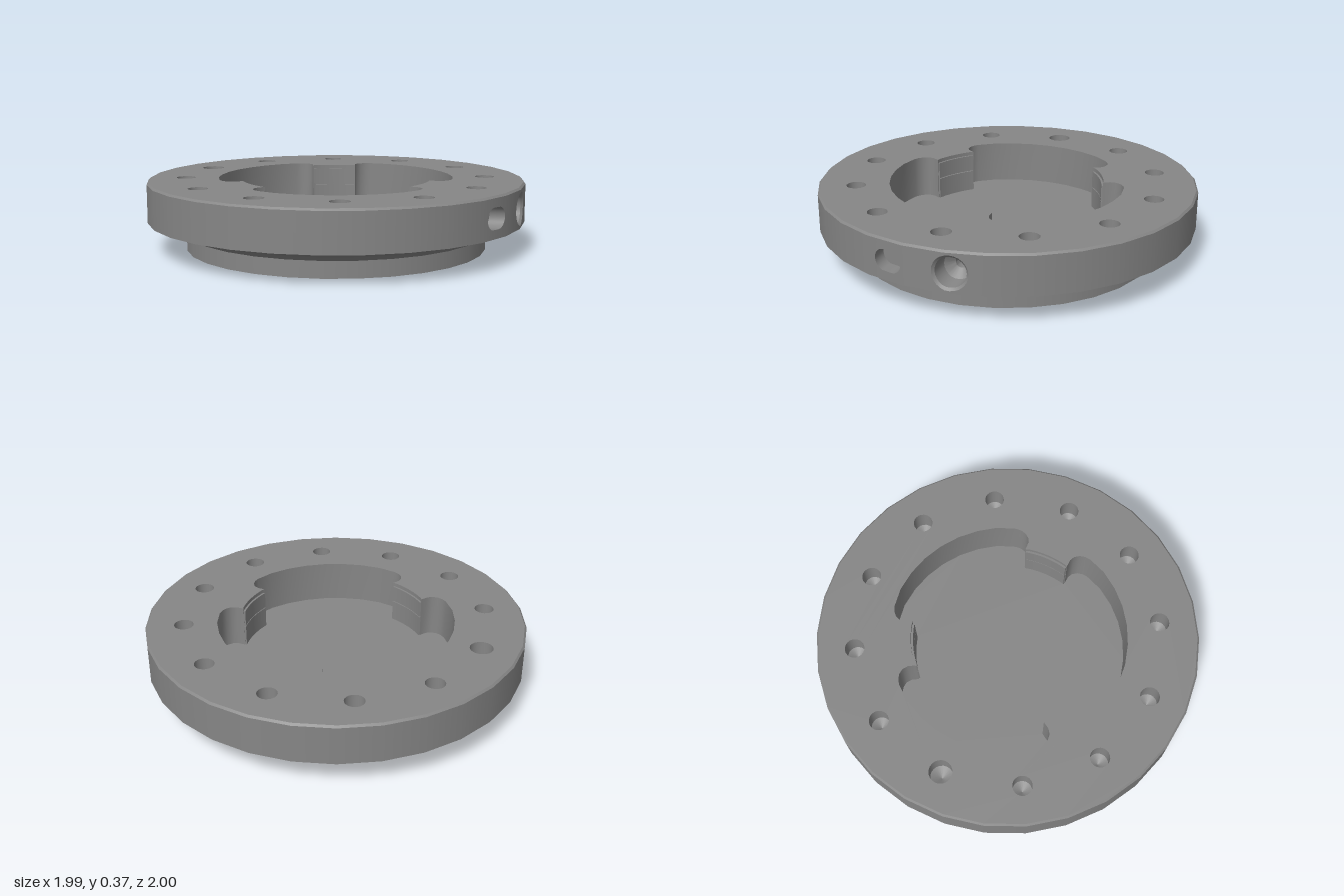
import * as THREE from 'three';
import { toCreasedNormals } from 'three/addons/utils/BufferGeometryUtils.js';

const SIDES = 30, TOP = 0.365, FLOOR = 0.14, RIM_LOW = 0.155, RIM_HIGH = 0.355;
const material = new THREE.MeshStandardMaterial({ color: 0x868686, side: THREE.DoubleSide });
const rad = THREE.MathUtils.degToRad;

function add(parent, name, geometry) {
  const mesh = new THREE.Mesh(geometry, material);
  mesh.name = name;
  parent.add(mesh);
  return mesh;
}

// One turned band between two (radius, height) points
function band(parent, name, a, b, start = 0, length = Math.PI * 2, sides = SIDES) {
  const profile = [new THREE.Vector2(...a), new THREE.Vector2(...b)];
  return add(parent, name, new THREE.LatheGeometry(profile, sides, start, length));
}

// Skin between closed rings of Vector3
function loft(rings) {
  const n = rings[0].length, index = [];
  for (let r = 0; r < rings.length - 1; r++) {
    for (let i = 0; i < n; i++) {
      const a = r * n + i, b = r * n + (i + 1) % n;
      index.push(a, b, b + n, a, b + n, a + n);
    }
  }
  const geometry = new THREE.BufferGeometry().setFromPoints(rings.flat());
  geometry.setIndex(index);
  return toCreasedNormals(geometry, 0.6);
}

function circle(cx, cy, radius, n) {
  return Array.from({ length: n }, (_, i) => {
    const a = i / n * Math.PI * 2;
    return new THREE.Vector2(cx + radius * Math.cos(a), cy + radius * Math.sin(a));
  });
}

// Pocket outline: round wall with three inward tabs flanked by rounded reliefs
function pocketOutline() {
  const relief = [[0.49, 0.122], [0.53, 0.123], [0.557, 0.135], [0.576, 0.16], [0.583, 0.19], [0.58, 0.22]];
  const part = [];
  for (let i = -3; i <= 3; i++) {
    const a = rad(i * 4);
    part.push(new THREE.Vector2(0.508 * Math.cos(a), 0.508 * Math.sin(a)));
  }
  relief.forEach(p => part.push(new THREE.Vector2(...p)));
  for (let deg = 30; deg <= 90; deg += 10) {
    part.push(new THREE.Vector2(0.627 * Math.cos(rad(deg)), 0.627 * Math.sin(rad(deg))));
  }
  const mirrored = relief.map(([x, y]) => new THREE.Vector2(x, -y)).reverse();
  mirrored.forEach(p => part.push(p.rotateAround(new THREE.Vector2(), rad(120))));
  const outline = [];
  for (let k = 0; k < 3; k++) {
    part.forEach(p => outline.push(p.clone().rotateAround(new THREE.Vector2(), rad(120 * k))));
  }
  return outline;
}

// Point on the faceted rim near +x, sunk inward by depth
const FACET = Math.sin(rad(6)), EDGE = Math.sin(rad(18));
function onRim(z, y, depth = 0) {
  const t = Math.max(0, (Math.abs(z) - FACET) / (EDGE - FACET));
  return new THREE.Vector3(THREE.MathUtils.lerp(Math.cos(rad(6)), Math.cos(rad(18)), t) - depth, y, z);
}

// Curved piece of rim pierced by one opening
function rimPanel(parent, z0, z1, opening) {
  const steps = 6, outline = [];
  for (let i = 0; i <= steps; i++) outline.push(new THREE.Vector2(z0 + (z1 - z0) * i / steps, RIM_LOW));
  for (let i = steps; i >= 0; i--) outline.push(new THREE.Vector2(z0 + (z1 - z0) * i / steps, RIM_HIGH));
  const shape = new THREE.Shape(outline);
  shape.holes.push(new THREE.Path(opening));
  const geometry = new THREE.ShapeGeometry(shape);
  const pos = geometry.attributes.position, normal = geometry.attributes.normal;
  for (let i = 0; i < pos.count; i++) {
    const p = onRim(pos.getX(i), pos.getY(i));
    pos.setXYZ(i, p.x, p.y, p.z);
    p.setY(0).normalize();
    normal.setXYZ(i, p.x, 0, p.z);
  }
  geometry.index.array.reverse(); // faces look outward
  add(parent, 'rimPanel', geometry);
}

// Sunken opening in the rim; steps are [scale, depth]
function rimRecess(parent, name, opening, cz, cy, steps) {
  add(parent, name, loft(steps.map(([s, d]) =>
    opening.map(p => onRim(cz + (p.x - cz) * s, cy + (p.y - cy) * s, d)))));
}

export function createModel() {
  const model = new THREE.Group();
  model.name = 'mountingRing';

  // Underside with a shallow recess, neck and flare
  band(model, 'bottomFace', [0, 0.01], [0.763, 0.01]);
  band(model, 'bottomLipBevel', [0.763, 0.01], [0.772, 0]);
  band(model, 'bottomLip', [0.772, 0], [0.8, 0]);
  band(model, 'neck', [0.8, 0], [0.8, 0.085]);
  band(model, 'neckFillet', [0.8, 0.085], [0.85, 0.113]);
  band(model, 'flare', [0.85, 0.113], [1, RIM_LOW]);

  // Rim wall, left open around +x for the two side openings
  band(model, 'rimWall', [1, RIM_LOW], [1, RIM_HIGH], rad(108), rad(324), 27);
  band(model, 'rimChamfer', [1, RIM_HIGH], [0.99, TOP]);

  // Side openings: round stepped socket and a slot
  const socket = circle(-0.13, 0.255, 0.088, 24);
  const slot = circle(0, 0, 0.055, 24).map(p =>
    new THREE.Vector2(0.19 + p.x + (p.x > 0 ? 0.02 : -0.02), 0.255 + p.y));
  rimPanel(model, -EDGE, FACET, socket);
  rimPanel(model, FACET, EDGE, slot);
  rimRecess(model, 'sideSocket', socket, -0.13, 0.255, [[1, 0], [0.86, 0.012], [0.8, 0.1], [0.34, 0.14], [0.34, 0.18], [0, 0.19]]);
  rimRecess(model, 'sideSlot', slot, 0.19, 0.255, [[1, 0], [1, 0.08], [0, 0.08]]);

  // Top face with the pocket and twelve drilled holes
  const pocket = pocketOutline();
  const face = new THREE.Shape(Array.from({ length: SIDES }, (_, i) => {
    const a = rad(90 + i * 360 / SIDES);
    return new THREE.Vector2(0.99 * Math.cos(a), 0.99 * Math.sin(a));
  }));
  face.holes.push(new THREE.Path(pocket));
  for (let i = 0; i < 12; i++) {
    const a = rad(i * 30), r = i === 6 ? 0.06 : 0.051;
    const x = 0.8 * Math.cos(a), z = 0.8 * Math.sin(a);
    face.holes.push(new THREE.Path(circle(x, -z, r, 20)));
    const hole = new THREE.Group();
    hole.name = 'drilledHole';
    hole.position.set(x, TOP, z);
    band(hole, 'holeWall', [r, -0.12], [r, 0], Math.PI / 2, Math.PI * 2, 20);
    band(hole, 'holeTip', [0, -0.15], [r, -0.12], Math.PI / 2, Math.PI * 2, 20);
    model.add(hole);
  }
  const topFace = add(model, 'topFace', new THREE.ShapeGeometry(face));
  topFace.rotation.x = -Math.PI / 2;
  topFace.position.y = TOP;

  // Pocket wall and floor
  add(model, 'pocketWall', loft([TOP, FLOOR].map(y => pocket.map(p => new THREE.Vector3(p.x, y, -p.y)))));
  const floor = add(model, 'pocketFloor', new THREE.ShapeGeometry(new THREE.Shape(pocket)));
  floor.rotation.x = -Math.PI / 2;
  floor.position.y = FLOOR;

  // Raised pads on the tabs, parted by a fine groove
  for (let k = 0; k < 3; k++) {
    for (const [low, high] of [[FLOOR, 0.252], [0.256, 0.345]]) {
      const half = rad(13.5), mid = rad(120 * k);
      const arc = new THREE.Shape();
      arc.absarc(0, 0, 0.515, mid - half, mid + half, false);
      arc.absarc(0, 0, 0.497, mid + half, mid - half, true);
      const pad = add(model, 'tabPad', new THREE.ExtrudeGeometry(arc, { depth: high - low, bevelEnabled: false, curveSegments: 8 }));
      pad.rotation.x = -Math.PI / 2;
      pad.position.y = low;
    }
  }

  // Two tiny pins set almost flush in the back of the neck
  for (const y of [0.03, 0.06]) {
    const pin = add(model, 'neckPin', new THREE.CylinderGeometry(0.01, 0.01, 0.02, 10));
    pin.rotation.x = Math.PI / 2;
    pin.position.set(0, y, -0.791);
  }
  return model;
}
